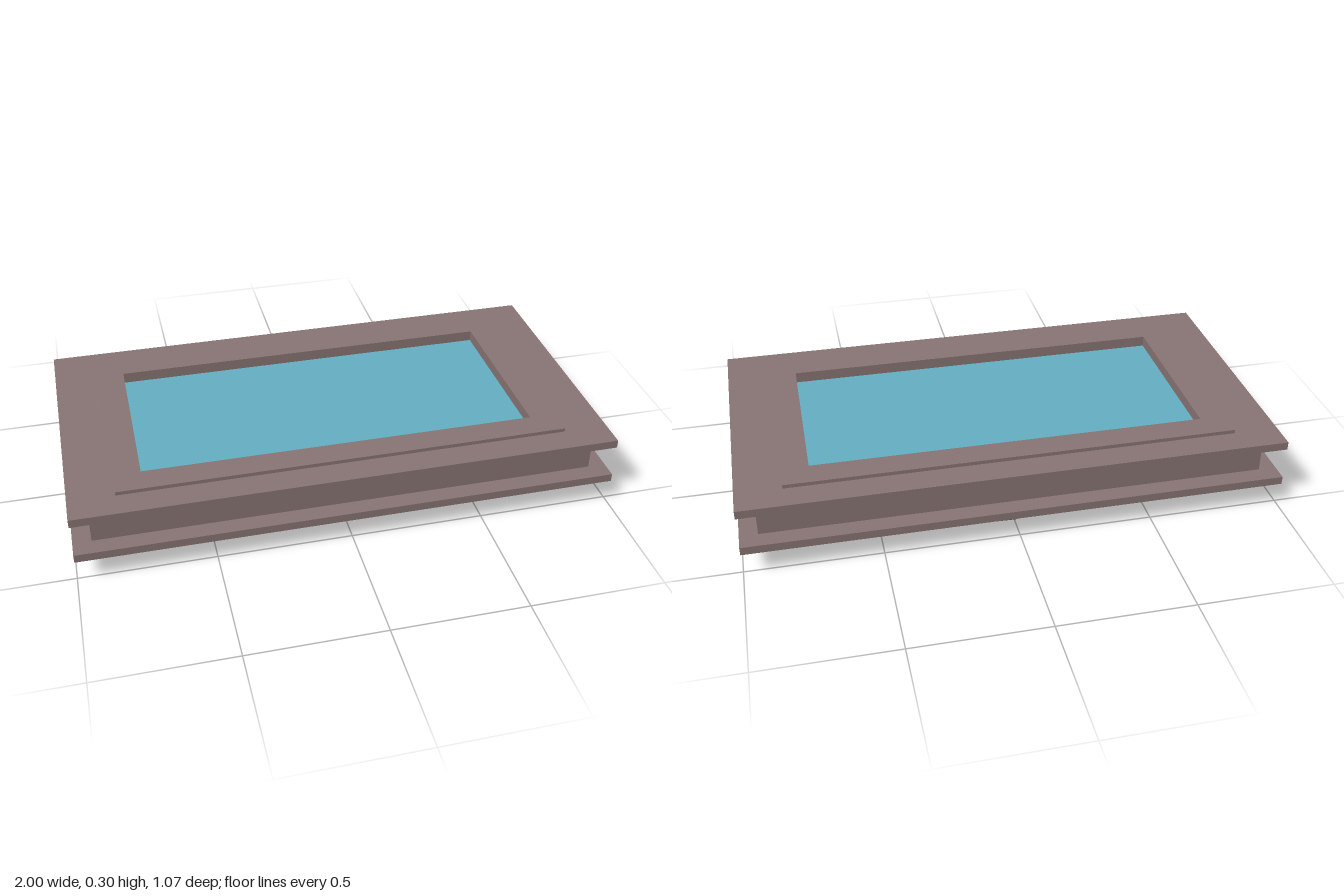
import * as THREE from 'three';

const OPEN_X = 0.733, OPEN_Z = 0.333;
const HANDLE_Z = -0.378;

// Rectangular ring lying flat between heights y0 and y1
function ring(halfX, halfZ, y0, y1) {
  const rect = (P, x, z) => {
    const p = new P();
    p.moveTo(-x, -z);
    p.lineTo(x, -z);
    p.lineTo(x, z);
    p.lineTo(-x, z);
    p.closePath();
    return p;
  };
  const shape = rect(THREE.Shape, halfX, halfZ);
  shape.holes.push(rect(THREE.Path, OPEN_X, OPEN_Z));
  const geo = new THREE.ExtrudeGeometry(shape, { depth: y1 - y0, bevelEnabled: false });
  return geo.rotateX(-Math.PI / 2).translate(0, y0, 0);
}

// Flat bar from x0 to x1 with round ends of radius r0 and r1, optionally bevelled
function bar(x0, x1, r0, r1, y0, y1, bevel = 0) {
  const shape = new THREE.Shape();
  shape.absarc(x0 + r0, 0, r0 - bevel, Math.PI / 2, Math.PI * 1.5, false);
  shape.absarc(x1 - r1, 0, r1 - bevel, -Math.PI / 2, Math.PI / 2, false);
  shape.closePath();
  const geo = new THREE.ExtrudeGeometry(shape, {
    depth: y1 - y0 - 2 * bevel, curveSegments: 16,
    bevelEnabled: bevel > 0, bevelSize: bevel, bevelThickness: bevel, bevelSegments: 4,
  });
  return geo.rotateX(-Math.PI / 2).translate(0, y0 + bevel, HANDLE_Z);
}

export function createModel() {
  const model = new THREE.Group();
  model.name = 'window';
  const frameMat = new THREE.MeshStandardMaterial({ color: 0x8a7575 });
  const glassMat = new THREE.MeshStandardMaterial({ color: 0x66b0c4 });
  const add = (parent, name, geo, mat = frameMat) => {
    const mesh = new THREE.Mesh(geo, mat);
    mesh.name = name;
    parent.add(mesh);
    return mesh;
  };

  // Frame: two wide flanges around a narrower core, and a slightly raised sash
  const frame = new THREE.Group();
  frame.name = 'frame';
  add(frame, 'innerFlange', ring(1, 0.534, 0.102, 0.133));
  add(frame, 'core', ring(0.933, 0.468, 0.133, 0.257));
  add(frame, 'outerFlange', ring(1, 0.534, 0.257, 0.288));
  add(frame, 'sash', ring(0.832, 0.433, 0.288, 0.302));
  model.add(frame);

  // Pane, let slightly into the frame
  add(model, 'glass', new THREE.BoxGeometry(2 * OPEN_X + 0.02, 0.04, 2 * OPEN_Z + 0.02), glassMat)
    .position.y = 0.24;

  // Handle under the frame: mounting plate, spindle and tapered lever
  const handle = new THREE.Group();
  handle.name = 'handle';
  add(handle, 'mountingPlate', bar(-0.158, 0.156, 0.023, 0.023, 0.071, 0.102));
  add(handle, 'spindle', new THREE.CylinderGeometry(0.016, 0.016, 0.05, 24))
    .position.set(0, 0.051, HANDLE_Z);
  add(handle, 'lever', bar(-0.037, 0.435, 0.037, 0.022, 0, 0.033, 0.012));
  model.add(handle);

  return model;
}
